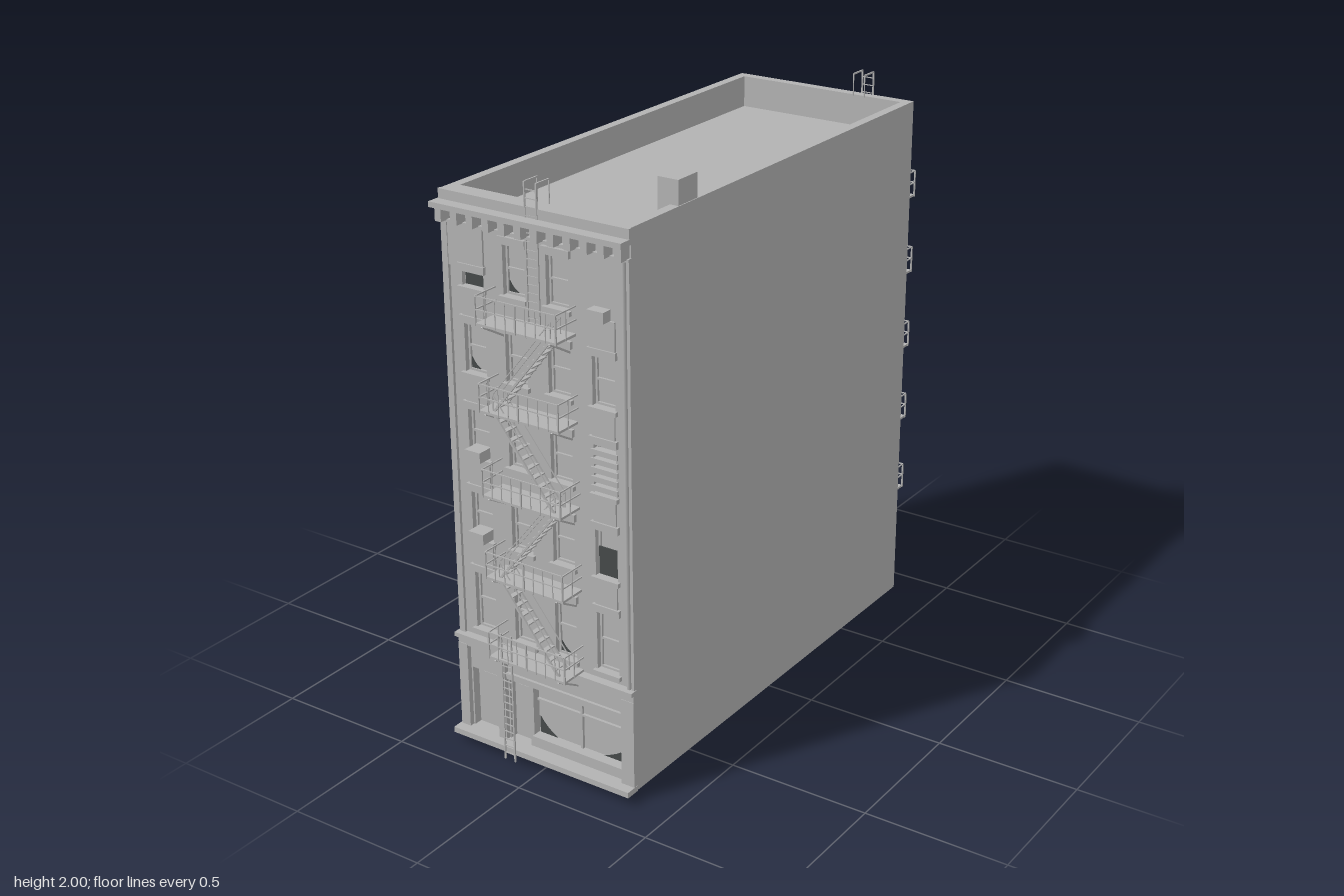
import * as THREE from 'three';
import { mergeGeometries } from 'three/addons/utils/BufferGeometryUtils.js';

const stone = new THREE.MeshStandardMaterial({ color: 0xb2b2b2 });
stone.name = 'grey';
const dark = new THREE.MeshStandardMaterial({ color: 0x454949 });
dark.name = 'darkGrey';

const FLOORS = [0.4, 0.687, 0.973, 1.26, 1.545];
const FRONT = 0.836, BACK = -0.847;

// Box given by its minimum and maximum on each axis
function box(x0, x1, y0, y1, z0, z1) {
  return new THREE.BoxGeometry(x1 - x0, y1 - y0, Math.abs(z1 - z0))
    .translate((x0 + x1) / 2, (y0 + y1) / 2, (z0 + z1) / 2);
}

// Thin square bar between two points
function bar(a, b, t = 0.005) {
  const p = new THREE.Vector3(...a), q = new THREE.Vector3(...b);
  const d = q.clone().sub(p);
  const turn = new THREE.Quaternion().setFromUnitVectors(new THREE.Vector3(0, 1, 0), d.clone().normalize());
  const mid = p.add(q).multiplyScalar(0.5);
  return new THREE.BoxGeometry(t, d.length(), t).applyQuaternion(turn).translate(mid.x, mid.y, mid.z);
}

// Wall slab with rectangular openings [x0, x1, y0, y1]
function wall(openings, z0, depth) {
  const rect = (T, x0, x1, y0, y1) => {
    const s = new T();
    s.moveTo(x0, y0); s.lineTo(x1, y0); s.lineTo(x1, y1); s.lineTo(x0, y1); s.closePath();
    return s;
  };
  const shape = rect(THREE.Shape, -0.353, 0.353, 0.03, 1.92);
  shape.holes = openings.map(o => rect(THREE.Path, ...o));
  return new THREE.ExtrudeGeometry(shape, { depth, bevelEnabled: false }).translate(0, 0, z0);
}

// Broken lower corner of a pane, facing side s
function shard(x, y, w, h, z, s) {
  const shape = new THREE.Shape();
  shape.moveTo(x, y); shape.lineTo(x + w, y);
  shape.quadraticCurveTo(x + w * 0.4, y + h * 0.3, x, y + h);
  const g = new THREE.ExtrudeGeometry(shape, { depth: 0.003, bevelEnabled: false, curveSegments: 4 });
  return g.translate(0, 0, s > 0 ? z : z - 0.003);
}

// Recessed pane with frame and meeting rail
function sash([x0, x1, y0, y1], face, s) {
  const z = face - s * 0.025, zf = z + s * 0.008, t = 0.007, ym = (y0 + y1) / 2;
  return [
    box(x0, x1, y0, y1, z - s * 0.004, z),
    box(x0, x0 + t, y0, y1, z, zf), box(x1 - t, x1, y0, y1, z, zf),
    box(x0, x1, y0, y0 + t, z, zf), box(x0, x1, y1 - t, y1, z, zf),
    box(x0, x1, ym - t / 2, ym + t / 2, z, zf),
  ];
}

// Fire escape on side s (1 front, -1 back), centred on cx
function fireEscape(cx, face, s) {
  const decks = [], rails = [], stairs = [], ladder = [];
  const x0 = cx - 0.152, x1 = cx + 0.152, out = face + s * 0.1;
  FLOORS.forEach((f, i) => {
    decks.push(box(x0, x1, f, f + 0.008, face, out));
    for (const h of [0.052, 0.095]) {
      rails.push(bar([x0, f + h, out], [x1, f + h, out], 0.004));
      for (const x of [x0, x1]) rails.push(bar([x, f + h, face], [x, f + h, out], 0.004));
    }
    for (let k = 0; k <= 8; k++) {
      const x = x0 + (x1 - x0) * k / 8;
      rails.push(bar([x, f, out], [x, f + 0.095, out], k % 4 ? 0.0025 : 0.005));
    }
    for (const x of [x0, x1]) rails.push(bar([x, f, face + s * 0.05], [x, f + 0.095, face + s * 0.05], 0.003));
    for (const x of [x0 + 0.025, x1 - 0.025])
      rails.push(bar([x, f, out], [x, f - 0.058, face], 0.006));
    if (i === 4) return;
    // Flights alternate direction on every floor
    const d = i % 2 ? 1 : -1, top = FLOORS[i + 1];
    const a = cx - d * 0.115, b = cx + d * 0.115;
    const zi = face + s * 0.028, zo = face + s * 0.078;
    for (const z of [zi, zo]) {
      stairs.push(bar([a, f, z], [b, top, z], 0.007));
      stairs.push(bar([a, f + 0.06, z], [b, top + 0.06, z], 0.003));
      for (const [x, y] of [[a, f], [b, top]]) stairs.push(bar([x, y, z], [x, y + 0.06, z], 0.003));
    }
    for (let k = 1; k < 11; k++) {
      const x = a + (b - a) * k / 11, y = f + (top - f) * k / 11;
      stairs.push(box(x - 0.009, x + 0.009, y - 0.002, y + 0.002, zi, zo));
    }
  });
  // Roof ladder hooked over the parapet
  const lx = s > 0 ? 0 : 0.163, lz = face + s * 0.012, hook = face - s * 0.05;
  for (const x of [lx - 0.022, lx + 0.022]) {
    ladder.push(bar([x, 1.55, lz], [x, 1.998, lz]), bar([x, 1.997, lz], [x, 1.997, hook]));
    ladder.push(bar([x, 1.997, hook], [x, 1.92, hook], 0.003));
  }
  for (let y = 1.57; y < 1.99; y += 0.027) ladder.push(bar([lx - 0.022, y, lz], [lx + 0.022, y, lz], 0.003));
  // Drop ladder to the pavement
  if (s > 0) {
    const z = out - 0.008;
    for (const x of [-0.11, -0.07]) ladder.push(bar([x, 0.035, z], [x, 0.5, z]));
    for (let y = 0.06; y < 0.49; y += 0.027) ladder.push(bar([-0.11, y, z], [-0.07, y, z], 0.003));
  }
  return { decks, rails, stairs, ladder };
}

export function createModel() {
  const model = new THREE.Group();
  const add = (name, list, mat = stone) => {
    const flat = list.map(g => (g.index ? g.toNonIndexed() : g));
    const m = new THREE.Mesh(mergeGeometries(flat), mat);
    m.name = name;
    model.add(m);
  };

  // Window layout
  const frontWin = [], backWin = [], trim = [], panes = [], shards = [];
  const frontCols = [-0.243, -0.082, 0.082, 0.247], backCols = [0.25, 0.09, -0.08, -0.245];
  FLOORS.forEach((f, i) => {
    frontCols.forEach((x, c) => {
      if (i === 4 && c === 3) return;
      const y0 = f + (i ? 0.075 : 0.03), y1 = f + (i === 4 && c === 0 ? 0.125 : 0.24);
      frontWin.push([x - 0.042, x + 0.042, y0, y1]);
      trim.push(box(x - 0.052, x + 0.052, y1, y1 + 0.025, FRONT, FRONT + 0.012));
      trim.push(box(x - 0.052, x + 0.052, y0 - 0.015, y0, FRONT, FRONT + 0.014));
      // Spandrel panels under the outer windows
      if (i && c % 3 === 0) trim.push(box(x - 0.042, x + 0.042, f - 0.022, y0 - 0.015, FRONT, FRONT + 0.006));
    });
    backCols.forEach((x, c) => {
      const y0 = f + 0.068, h = c === 2 ? [0.09, 0.175, 0.175, 0.175, 0.05][i] : 0.175;
      backWin.push([x - 0.045, x + 0.045, y0, y0 + h]);
      trim.push(box(x - 0.05, x + 0.05, y0 - 0.012, y0, BACK, BACK - 0.01));
    });
  });
  backCols.slice(0, 3).forEach(x => {
    backWin.push([x - 0.045, x + 0.045, 0.13, 0.27]);
    trim.push(box(x - 0.05, x + 0.05, 0.118, 0.13, BACK, BACK - 0.01));
  });
  frontWin.forEach((w, i) => {
    panes.push(...sash(w, FRONT, 1));
    if (i % 5 === 2) shards.push(shard(w[0] + 0.007, w[2] + 0.007, 0.035, 0.035, FRONT - 0.025, 1));
  });
  backWin.forEach((w, i) => {
    panes.push(...sash(w, BACK, -1));
    if (i % 3 === 1) shards.push(shard(w[0] + 0.007, w[2] + 0.007, 0.04, 0.04, BACK + 0.025, -1));
  });

  // Shell
  const doors = [[-0.312, -0.2, 0.05, 0.27], [-0.158, -0.075, 0.05, 0.27]];
  const shop = [-0.06, 0.3, 0.09, 0.275], backDoor = [-0.31, -0.21, 0.035, 0.24];
  add('frontWall', [wall([...frontWin, ...doors, shop], 0.785, FRONT - 0.785)]);
  add('backWall', [wall([...backWin, backDoor], BACK, 0.035)]);
  add('sideWalls', [-1, 1].map(s => box(s > 0 ? 0.32 : -0.353, s > 0 ? 0.353 : -0.32, 0.03, 1.92, -0.812, 0.785)));
  add('roof', [box(-0.32, 0.32, 1.79, 1.81, -0.812, 0.785)]);
  add('floor', [box(-0.32, 0.32, 0.03, 0.045, -0.812, 0.785)]);
  add('plinth', [box(-0.315, 0.315, 0, 0.03, -0.81, 0.8)]);
  add('chimney', [box(0.275, 0.35, 1.8, 2, 0.49, 0.59)]);
  add('windowTrim', trim);
  add('windowPanes', panes);

  // Doors and shopfront
  add('doors', [...doors.map(d => box(...d, FRONT - 0.034, FRONT - 0.03)),
    ...doors.map(([a, b, c, d]) => box(a + 0.02, b - 0.02, c + 0.02, d - 0.02, FRONT - 0.03, FRONT - 0.025)),
    box(...backDoor, BACK + 0.02, BACK + 0.025)]);
  const sz = FRONT - 0.03;
  add('shopWindow', [box(...shop, sz - 0.004, sz),
    box(0.116, 0.124, 0.09, 0.275, sz, sz + 0.01), box(-0.06, 0.3, 0.217, 0.224, sz, sz + 0.01),
    box(-0.06, 0.3, 0.265, 0.275, sz, sz + 0.01), box(-0.06, 0.3, 0.085, 0.095, sz, FRONT + 0.01)]);
  shards.push(shard(-0.055, 0.095, 0.07, 0.06, sz, 1));
  shards.push(shard(-0.295, 0.095, 0.09, 0.055, sz, 1).rotateY(Math.PI).translate(0, 0, 2 * sz + 0.003));
  // Dark vents in two boarded windows
  shards.push(box(-0.28, -0.205, 1.622, 1.668, FRONT - 0.016, FRONT - 0.012));
  shards.push(box(0.21, 0.285, 0.765, 0.86, FRONT - 0.016, FRONT - 0.012));
  add('openings', shards, dark);
  add('shopPilasters', [[-0.355, -0.318], [-0.195, -0.163], [0.305, 0.355]].map(([a, b]) => box(a, b, 0.05, 0.36, FRONT, FRONT + 0.018)));
  add('shopCornice', [box(-0.36, 0.356, 0.385, 0.4, FRONT, FRONT + 0.03), box(-0.355, 0.355, 0.355, 0.385, FRONT, FRONT + 0.016),
    box(-0.195, 0.305, 0.278, 0.3, FRONT, FRONT + 0.01)]);
  add('frontStep', [box(-0.36, 0.356, 0.03, 0.05, FRONT, 0.89)]);

  // Upper facade dressing
  add('cornerPilasters', [box(-0.353, -0.33, 0.4, 1.82, FRONT, FRONT + 0.01), box(0.343, 0.353, 0.4, 1.82, FRONT, FRONT + 0.01)]);
  add('drainpipe', [new THREE.CylinderGeometry(0.007, 0.007, 1.42, 8).translate(0.332, 1.11, FRONT + 0.008)]);
  add('facadePanels', [box(-0.335, -0.195, 1.68, 1.82, FRONT, FRONT + 0.007), box(0.2, 0.295, 1.52, 1.62, FRONT, FRONT + 0.007)]);
  const louvres = [];
  for (let k = 0; k < 5; k++) louvres.push(box(0.197, 0.297, 1.055 + k * 0.03, 1.073 + k * 0.03, FRONT - 0.02, FRONT + 0.006));
  add('boardedWindow', louvres);
  add('airConditioners', [[0.247, 1.62], [-0.243, 1.048], [-0.243, 0.762]].map(([x, y]) => box(x - 0.03, x + 0.03, y, y + 0.036, FRONT - 0.02, 0.874)));

  // Roof cornice with brackets
  const cornice = [box(-0.36, 0.356, 1.87, 1.888, FRONT, 0.89), box(-0.356, 0.355, 1.888, 1.92, FRONT, FRONT + 0.012),
    box(-0.355, 0.355, 1.818, 1.828, FRONT, FRONT + 0.015)];
  for (let k = 0; k < 12; k++) {
    const x = -0.335 + k * 0.061;
    cornice.push(box(x - 0.012, x + 0.012, 1.825, 1.87, FRONT, 0.878));
  }
  add('cornice', cornice);

  // Fire escapes
  for (const [side, parts] of [['front', fireEscape(-0.003, FRONT, 1)], ['back', fireEscape(0.165, BACK, -1)]])
    for (const [name, list] of Object.entries(parts)) add(`${side} fire escape ${name}`, list);
  return model;
}
